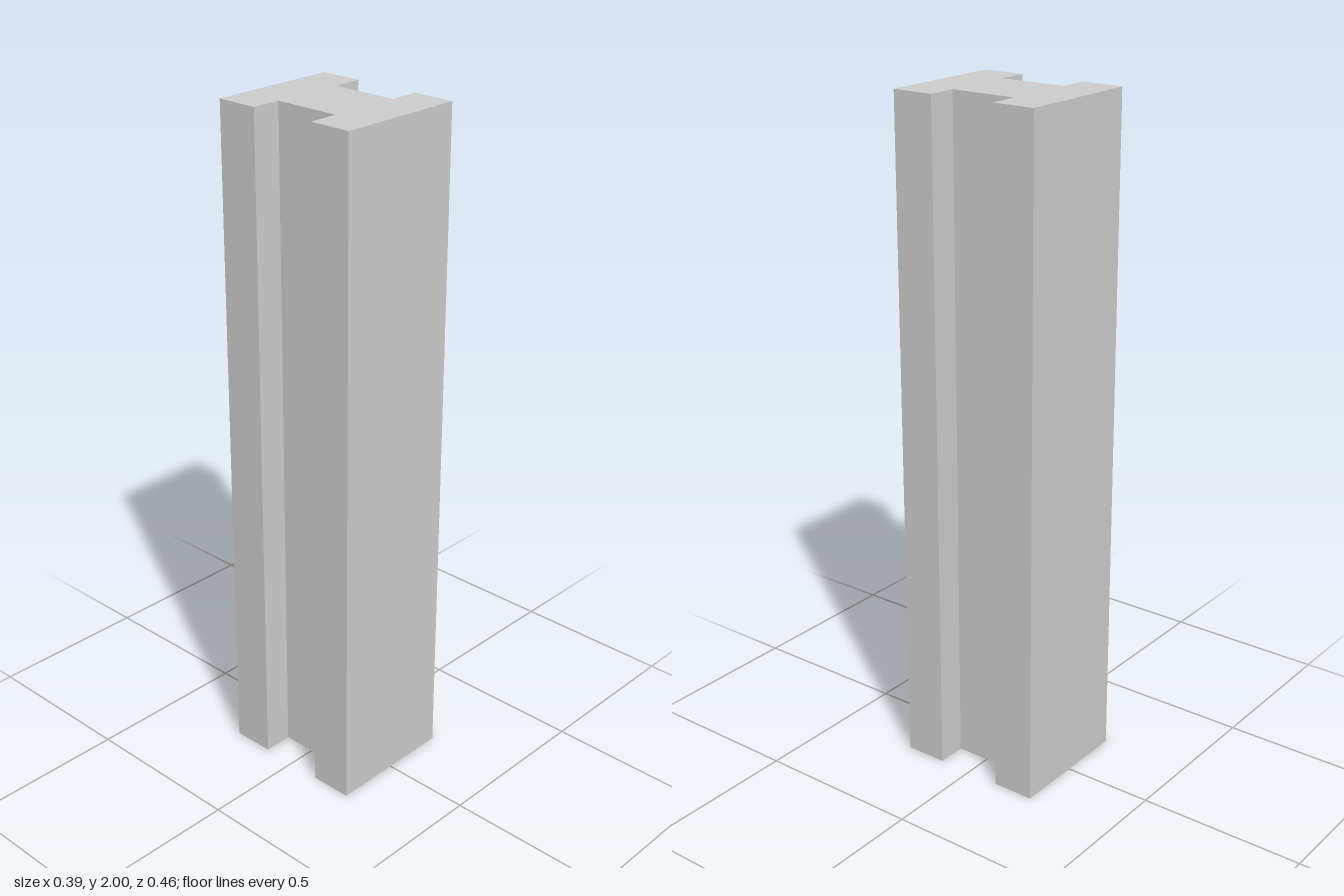
import * as THREE from 'three';

const HEIGHT = 2;
const FLANGE_X = 0.196; // half width of the flanges
const WEB_X = 0.108; // half thickness of the web
const OUTER_Z = 0.228; // outer face of the flanges
const INNER_Z = 0.101; // inner face of the flanges

export function createModel() {
  const group = new THREE.Group();
  group.name = 'column';

  // I-shaped cross-section: right side going up, then mirrored going down
  const side = [
    [FLANGE_X, -OUTER_Z], [FLANGE_X, -INNER_Z], [WEB_X, -INNER_Z],
    [WEB_X, INNER_Z], [FLANGE_X, INNER_Z], [FLANGE_X, OUTER_Z],
  ];
  const mirrored = side.map(([x, z]) => [-x, z]).reverse();
  const section = new THREE.Shape(
    [...side, ...mirrored].map(([x, z]) => new THREE.Vector2(x, z)));

  // Extrude the section and stand it upright
  const geometry = new THREE.ExtrudeGeometry(section, { depth: HEIGHT, bevelEnabled: false });
  geometry.rotateX(-Math.PI / 2);

  const beam = new THREE.Mesh(geometry, new THREE.MeshStandardMaterial({ color: 0xcccccc }));
  beam.name = 'iBeam';
  group.add(beam);
  return group;
}
